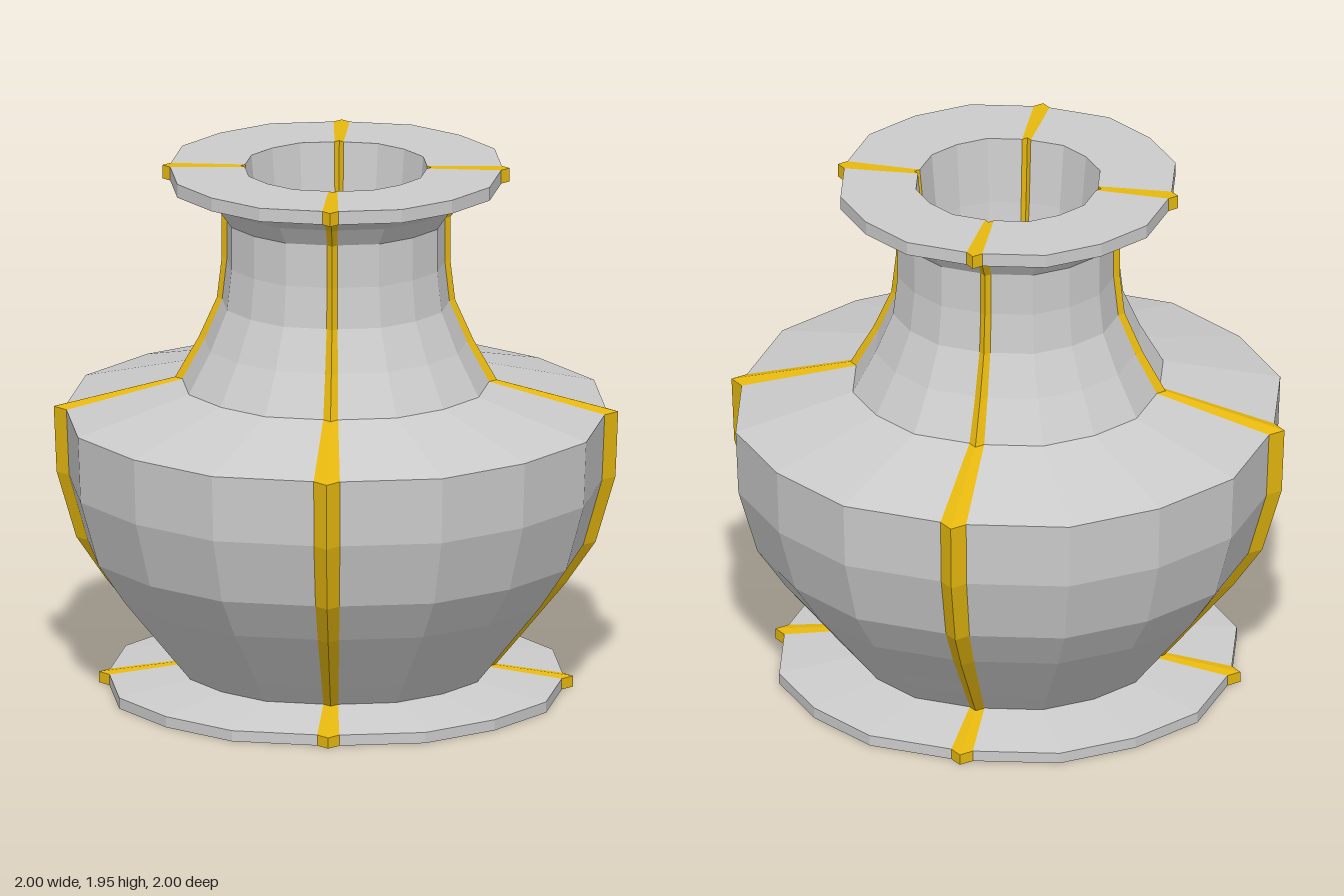
import * as THREE from 'three';

// Profile [radius, height]: up the outside, over the lip, down the inside
const PROFILE = [
  [0.84, 0], [0.84, 0.04], [0.565, 0.08], [0.63, 0.16], [0.69, 0.235], [0.815, 0.39],
  [0.92, 0.545], [0.99, 0.79], [1, 1.035], [0.57, 1.15], [0.487, 1.3], [0.422, 1.45],
  [0.405, 1.6], [0.405, 1.76], [0.455, 1.83], [0.53, 1.885], [0.615, 1.895], [0.615, 1.945],
  [0.338, 1.945], [0.315, 1.7], [0.285, 1.5], [0.25, null],
];
// Cross-section of one quarter [x, z] at radius 1: a panel and the square rib beside it
const PANEL = [[-0.655, 0.722], [-0.355, 0.945], [0, 1], [0.355, 0.945], [0.655, 0.722]];
const RIB = [[0.655, 0.722], [0.722, 0.722], [0.722, 0.655]];

// Four flat slopes meeting at the bottom of the inside
const pitHeight = (x, z) => 0.85 + 1.5 * (Math.abs(x) + Math.abs(z));

function place([sx, sz], [r, y]) {
  const x = sx * r, z = sz * r;
  return [x, y === null ? pitHeight(x, z) : y, z];
}

function flatGeometry(triangles) {
  const geometry = new THREE.BufferGeometry();
  geometry.setAttribute('position', new THREE.Float32BufferAttribute(triangles.flat(), 3));
  geometry.computeVertexNormals();
  return geometry;
}

// Sweep a section along the profile, scaling it by the radius
function loft(section) {
  const tris = [];
  for (let j = 0; j < PROFILE.length - 1; j++) {
    for (let i = 0; i < section.length - 1; i++) {
      const a = place(section[i], PROFILE[j]);
      const b = place(section[i + 1], PROFILE[j]);
      const c = place(section[i + 1], PROFILE[j + 1]);
      const d = place(section[i], PROFILE[j + 1]);
      tris.push(a, b, c, a, c, d);
    }
  }
  return flatGeometry(tris);
}

// Close one quarter of a ring to the axis
function fan(ring, centreY, facesDown) {
  const section = [...PANEL, ...RIB.slice(1)];
  const tris = [];
  for (let i = 0; i < section.length - 1; i++) {
    const a = place(section[i], ring), b = place(section[i + 1], ring);
    const centre = [0, centreY, 0];
    tris.push(centre, ...(facesDown ? [b, a] : [a, b]));
  }
  return flatGeometry(tris);
}

export function createModel() {
  const model = new THREE.Group();
  model.name = 'vase';
  const grey = new THREE.MeshStandardMaterial({ color: 0xcccccc, flatShading: true });
  const gold = new THREE.MeshStandardMaterial({ color: 0xe6b80f, flatShading: true });

  const parts = [
    ['bodyPanel', loft(PANEL), grey],
    ['goldRib', loft(RIB), gold],
    ['baseUnderside', fan(PROFILE[0], 0, true), grey],
    ['insideBottom', fan(PROFILE[PROFILE.length - 1], pitHeight(0, 0), false), grey],
  ];

  // Four quarters around the axis
  for (let k = 0; k < 4; k++) {
    const quarter = new THREE.Group();
    quarter.name = `quarter${k + 1}`;
    quarter.rotation.y = k * Math.PI / 2;
    for (const [name, geometry, material] of parts) {
      const mesh = new THREE.Mesh(geometry, material);
      mesh.name = name;
      quarter.add(mesh);
    }
    model.add(quarter);
  }
  return model;
}
